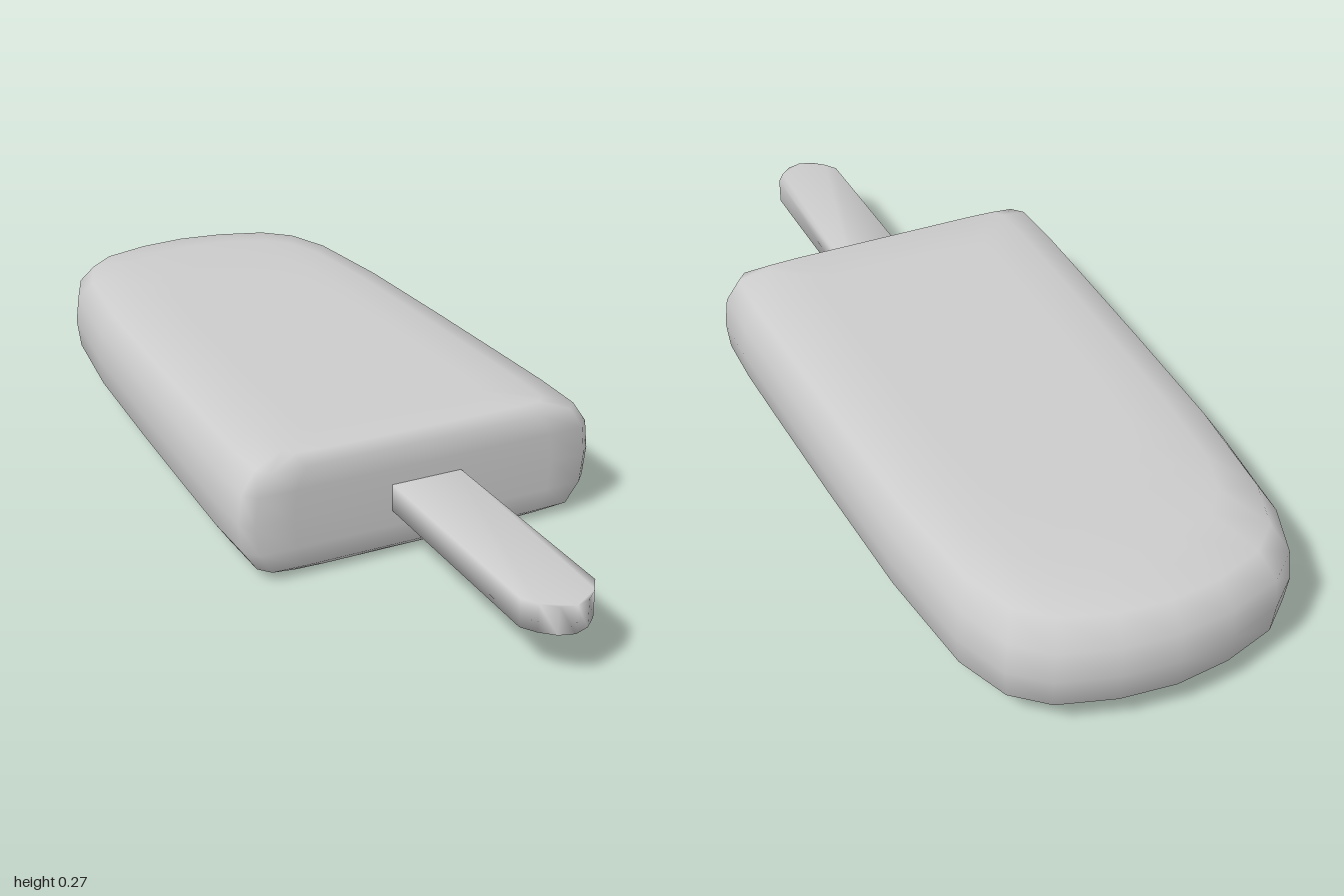
import * as THREE from 'three';
import { mergeVertices } from 'three/addons/utils/BufferGeometryUtils.js';

const MID = 0.1375, BACK = -1, FRONT = 0.435, HALF_WIDTH = 0.413;

// Right half of the bar's plan outline, back to front: [x, z]
const OUTLINE = [
  [0, -1], [0.12, -0.987], [0.24, -0.95], [0.31, -0.89], [0.355, -0.775], [0.384, -0.52],
  [0.398, -0.2], [0.408, 0.1], [0.413, 0.27], [0.41, 0.405], [0.385, 0.432], [0.3, 0.435], [0, 0.435],
];
// Layers from the middle up: [height, side inset, back inset, front inset]
const LAYERS = [
  [0, 0, 0, 0], [0.065, 0.008, 0.006, 0], [0.112, 0.04, 0.05, 0.004],
  [0.132, 0.108, 0.17, 0.028], [0.1345, 0.2, 0.38, 0.13],
];

function barGeometry() {
  const half = OUTLINE.length;
  const loop = [...OUTLINE, ...OUTLINE.slice(1, -1).reverse().map(([x, z]) => [-x, z])];
  const n = loop.length;
  const layers = [
    ...LAYERS.slice().reverse(),
    ...LAYERS.slice(1).map(([h, ...insets]) => [-h, ...insets]),
  ];
  const pos = [], idx = [];
  for (const [h, side, back, front] of layers) {
    for (const [x, z] of loop) {
      const t = (z - BACK) / (FRONT - BACK);
      pos.push(x * (1 - side / HALF_WIDTH), MID + h,
        THREE.MathUtils.lerp(BACK + back, FRONT - front, t));
    }
  }
  // walls between neighbouring layers
  for (let r = 0; r < layers.length - 1; r++) {
    for (let i = 0; i < n; i++) {
      const a = r * n + i, b = r * n + (i + 1) % n;
      idx.push(a, b, a + n, b, b + n, a + n);
    }
  }
  // flat top and bottom, in strips from right to left
  const base = (layers.length - 1) * n;
  for (let i = 0; i < half - 1; i++) {
    const r0 = i, r1 = i + 1, l0 = (n - i) % n, l1 = n - i - 1;
    for (const [a, b, c] of [[r0, l0, r1], [l0, l1, r1]]) {
      if (a === b || b === c || a === c) continue;
      idx.push(a, b, c, base + a, base + c, base + b);
    }
  }
  const g = new THREE.BufferGeometry();
  g.setAttribute('position', new THREE.Float32BufferAttribute(pos, 3));
  g.setIndex(idx);
  g.computeVertexNormals();
  return g;
}

function stickGeometry() {
  // plan shape with a rounded end, drawn with y as z
  const right = [[0.08, 0.4], [0.08, 0.935], [0.06, 0.965], [0.032, 0.99]];
  const pts = [...right, [0, 1], ...right.slice().reverse().map(([x, z]) => [-x, z])];
  const shape = new THREE.Shape(pts.map(([x, z]) => new THREE.Vector2(x, z)));
  let g = new THREE.ExtrudeGeometry(shape, { depth: 0.06, bevelEnabled: false });
  g.rotateX(Math.PI / 2);
  g.translate(0, 0.168, 0);
  // shared vertices give the soft shading around the tip
  g.deleteAttribute('normal');
  g.deleteAttribute('uv');
  g = mergeVertices(g, 1e-4);
  g.computeVertexNormals();
  return g;
}

export function createModel() {
  const group = new THREE.Group();
  group.name = 'icePop';
  const material = new THREE.MeshStandardMaterial({ color: 0xcccccc });
  const add = (name, geometry) => {
    const mesh = new THREE.Mesh(geometry, material);
    mesh.name = name;
    group.add(mesh);
  };
  add('iceBar', barGeometry());
  add('stick', stickGeometry());
  return group;
}
